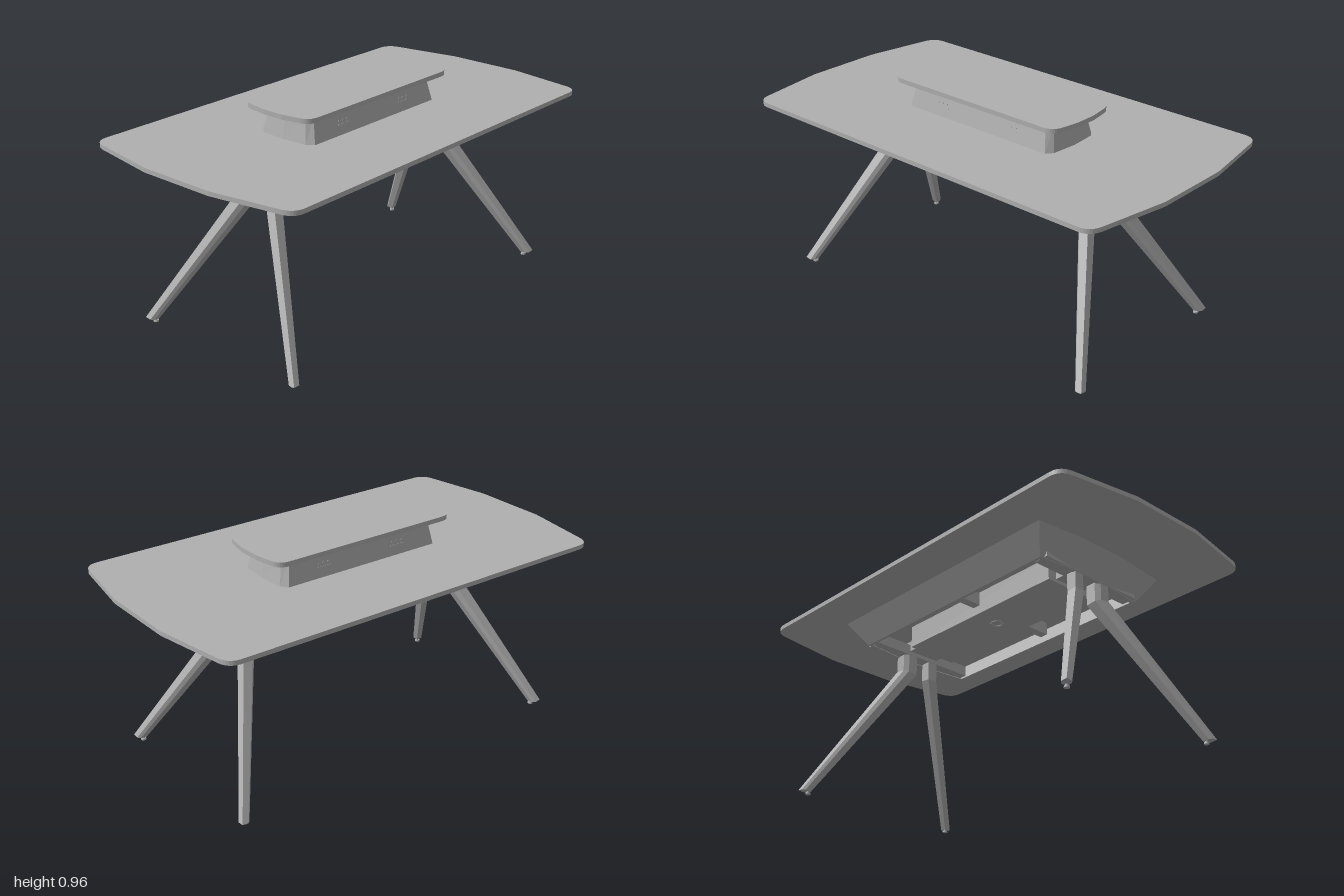
import * as THREE from 'three';

const grey = new THREE.MeshStandardMaterial({ color: 0xb0b0b0 });
grey.name = 'grey';

// Joins rings of [x, y, z] points (ordered +x to +z, listed upwards) into a surface
function loft(rings, capped = true, flip = false) {
  const pos = [];
  const tri = (a, b, c) => pos.push(...a, ...(flip ? c : b), ...(flip ? b : c));
  const n = rings[0].length;
  for (let r = 0; r < rings.length - 1; r++) {
    const lo = rings[r], hi = rings[r + 1];
    for (let i = 0; i < n; i++) {
      const j = (i + 1) % n;
      tri(lo[i], hi[i], lo[j]);
      tri(lo[j], hi[i], hi[j]);
    }
  }
  if (capped) {
    const lo = rings[0], hi = rings[rings.length - 1];
    for (let i = 1; i < n - 1; i++) {
      tri(lo[0], lo[i], lo[i + 1]);
      tri(hi[0], hi[i + 1], hi[i]);
    }
  }
  const g = new THREE.BufferGeometry();
  g.setAttribute('position', new THREE.Float32BufferAttribute(pos, 3));
  g.computeVertexNormals();
  return g;
}

// Mirrors a quarter outline of [x, z] into a full closed outline
function mirror4(q) {
  const rev = [...q].reverse();
  return [
    ...q,
    ...rev.map(([x, z]) => [-x, z]),
    ...q.map(([x, z]) => [-x, -z]),
    ...rev.map(([x, z]) => [x, -z]),
  ];
}

// Bowed end with one rounded corner
function roundedOutline(end, start, control, finish) {
  const curve = new THREE.QuadraticBezierCurve(
    new THREE.Vector2(...start), new THREE.Vector2(...control), new THREE.Vector2(...finish));
  return mirror4([end, ...curve.getPoints(8).map(p => [p.x, p.y])]);
}

const at = (outline, y) => outline.map(([x, z]) => [x, y, z]);

export function createModel() {
  const model = new THREE.Group();
  const add = (name, geometry, parent = model) => {
    const mesh = new THREE.Mesh(geometry, grey);
    mesh.name = name;
    parent.add(mesh);
    return mesh;
  };
  const box = (name, w, h, d, x, y, z, parent) =>
    add(name, new THREE.BoxGeometry(w, h, d), parent).position.set(x, y, z);

  // Table top
  const top = roundedOutline([1, 0.18], [0.948, 0.495], [0.938, 0.557], [0.88, 0.557]);
  add('tableTop', loft([at(top, 0.809), at(top, 0.829)]));

  // Raised centre unit: tapered body and lid
  const bodyLow = mirror4([[0.418, 0], [0.408, 0.12], [0.385, 0.15]]);
  const bodyHigh = mirror4([[0.397, 0], [0.388, 0.1], [0.365, 0.125]]);
  add('riserBody', loft([at(bodyLow, 0.829), at(bodyHigh, 0.94)]));
  const lid = roundedOutline([0.475, 0.05], [0.461, 0.135], [0.452, 0.185], [0.4, 0.185]);
  add('riserLid', loft([at(lid, 0.94), at(lid, 0.961)]));

  // Socket plates on both long faces of the riser
  for (const side of [1, -1]) {
    const sockets = new THREE.Group();
    sockets.name = 'sockets';
    sockets.rotation.y = side > 0 ? 0 : Math.PI;
    model.add(sockets);
    for (const x of [-0.2, 0.19]) {
      const panel = new THREE.Group();
      panel.name = 'socketPanel';
      panel.position.set(x, 0.88, 0.139);
      panel.rotation.x = -0.22;
      sockets.add(panel);
      box('socketSlot', 0.07, 0.005, 0.004, 0, -0.009, 0, panel);
      for (const dx of [-0.025, 0, 0.025]) box('socketPin', 0.008, 0.006, 0.004, dx, 0.008, 0, panel);
    }
  }

  // Hollow sloping skirt below the top
  const skirtHigh = mirror4([[0.66, 0.12], [0.635, 0.365]]);
  const skirtLow = mirror4([[0.582, 0.1], [0.562, 0.29]]);
  const shrink = o => o.map(([x, z]) => [x - 0.014 * Math.sign(x), z - 0.014 * Math.sign(z)]);
  add('skirt', loft([
    at(shrink(skirtHigh), 0.809), at(shrink(skirtLow), 0.698),
    at(skirtLow, 0.698), at(skirtHigh, 0.809),
  ], false));

  // Cable tray with grommet, and the frame that holds it
  box('cableTray', 0.9, 0.105, 0.25, 0, 0.757, 0);
  const grommet = add('grommet', new THREE.TorusGeometry(0.026, 0.005, 8, 24));
  grommet.rotation.x = Math.PI / 2;
  grommet.position.y = 0.704;
  for (const s of [1, -1]) {
    box('crossBeam', 0.07, 0.05, 0.54, s * 0.548, 0.727, 0);
    box('endBracket', 0.1, 0.05, 0.16, s * 0.49, 0.745, 0);
    box('sideStrut', 0.04, 0.06, 0.18, 0, 0.775, s * 0.21);
  }

  // Splayed tapering legs with two chamfered edges and a levelling foot
  const section = [[0, 0], [0.72, 0], [1, 0.28], [1, 1], [0.28, 1], [0, 0.72]];
  for (const sx of [1, -1]) for (const sz of [1, -1]) {
    const leg = new THREE.Group();
    leg.name = 'leg';
    model.add(leg);
    const ring = (x, z, size, y, rise) => section.map(([u, v]) =>
      [sx * (x + u * size), y + rise * (u + v), sz * (z + v * size)]);
    add('legBeam', loft([
      ring(0.794, 0.4, 0.04, 0.012, 0.004),
      ring(0.515, 0.036, 0.065, 0.61, 0.008),
      ring(0.515, 0.036, 0.065, 0.705, 0),
    ], true, sx * sz < 0), leg);
    add('footStem', new THREE.CylinderGeometry(0.006, 0.006, 0.016, 12), leg)
      .position.set(sx * 0.804, 0.012, sz * 0.408);
    add('footPad', new THREE.CylinderGeometry(0.011, 0.012, 0.008, 16), leg)
      .position.set(sx * 0.804, 0.004, sz * 0.408);
  }
  return model;
}
